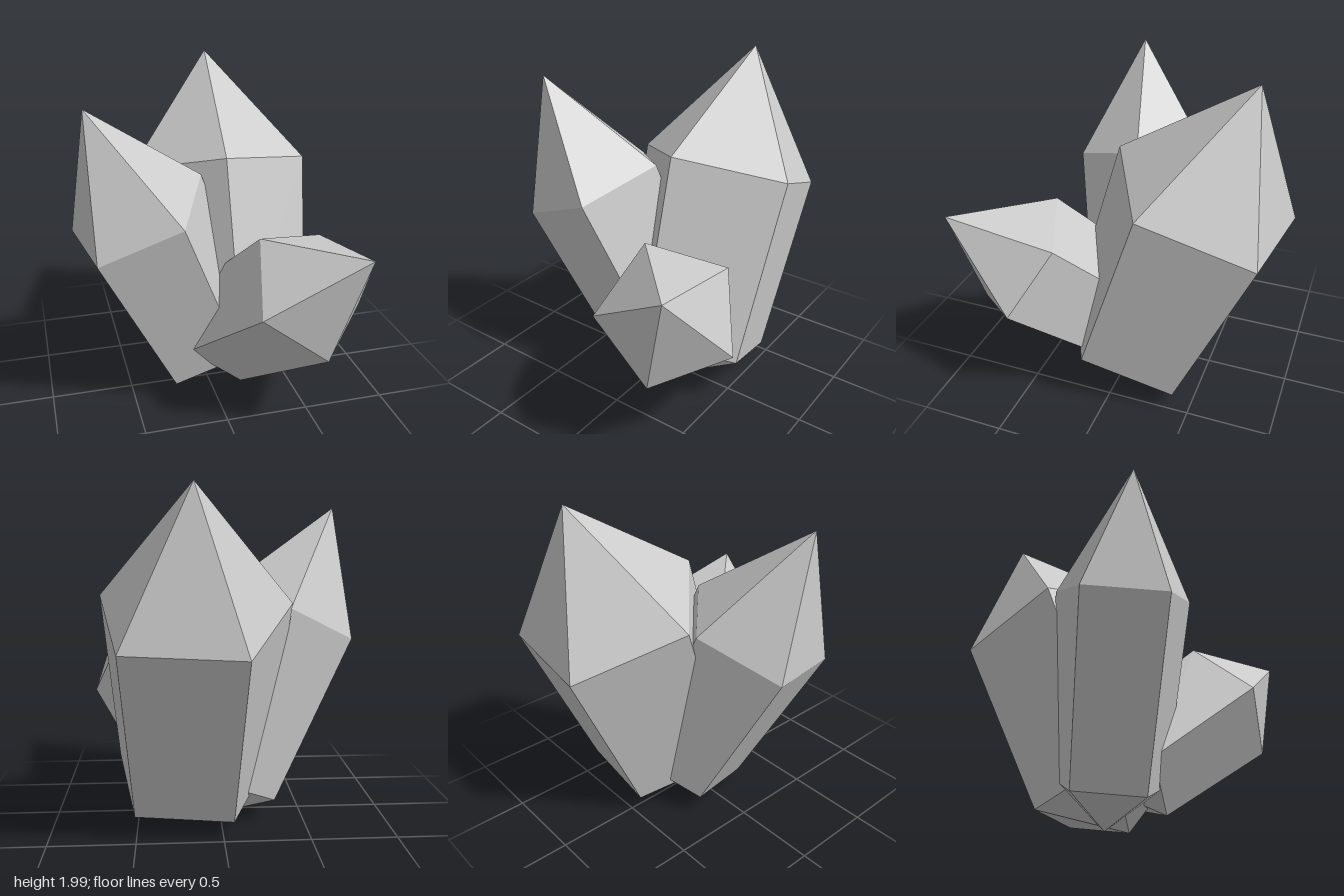
import * as THREE from 'three';
import { ConvexGeometry } from 'three/addons/geometries/ConvexGeometry.js';

const LENGTH = 1.5;  // shaft length relative to the height of the point
const ROOT = 0.365;  // depth of the root point relative to the height of the point
const TAPER = 0.86;  // size of the lower ring relative to the shoulder ring

// One five-sided crystal: pointed cap, tapering shaft and blunt pointed root
function crystal(name, tip, shoulder, material) {
  const top = new THREE.Vector3(...tip);
  const ring = shoulder.map((p) => new THREE.Vector3(...p));
  const centre = new THREE.Vector3();
  ring.forEach((p) => centre.addScaledVector(p, 1 / ring.length));
  const axis = top.clone().sub(centre);
  const base = centre.clone().addScaledVector(axis, -LENGTH);
  const root = base.clone().addScaledVector(axis, -ROOT);
  const lower = ring.map((p) => p.clone().sub(centre).multiplyScalar(TAPER).add(base));
  const mesh = new THREE.Mesh(new ConvexGeometry([top, ...ring, ...lower, root]), material);
  mesh.name = name;
  return mesh;
}

export function createModel() {
  const group = new THREE.Group();
  group.name = 'crystalCluster';
  const stone = new THREE.MeshStandardMaterial({ color: 0xcccccc, flatShading: true });

  group.add(
    // Large crystal leaning back
    crystal('backCrystal', [0.17, 2.0, -0.72], [
      [0.69, 1.39, -0.23], [0.56, 1.15, -0.85], [-0.1, 1.13, -0.93],
      [-0.39, 1.35, -0.36], [0.1, 1.51, 0.07],
    ], stone),
    // Tall crystal leaning sideways
    crystal('sideCrystal', [-0.72, 1.88, 0.21], [
      [-0.71, 1.06, 0.4], [-0.24, 1.25, 0.46], [-0.04, 1.41, 0.02],
      [-0.39, 1.315, -0.31], [-0.8, 1.1, -0.07],
    ], stone),
    // Short crystal leaning forward
    crystal('frontCrystal', [0.65, 1.175, 0.92], [
      [0.8, 0.68, 0.49], [0.48, 0.54, 0.82], [0.1, 0.83, 0.79],
      [0.19, 1.15, 0.44], [0.62, 1.06, 0.27],
    ], stone),
  );
  return group;
}
